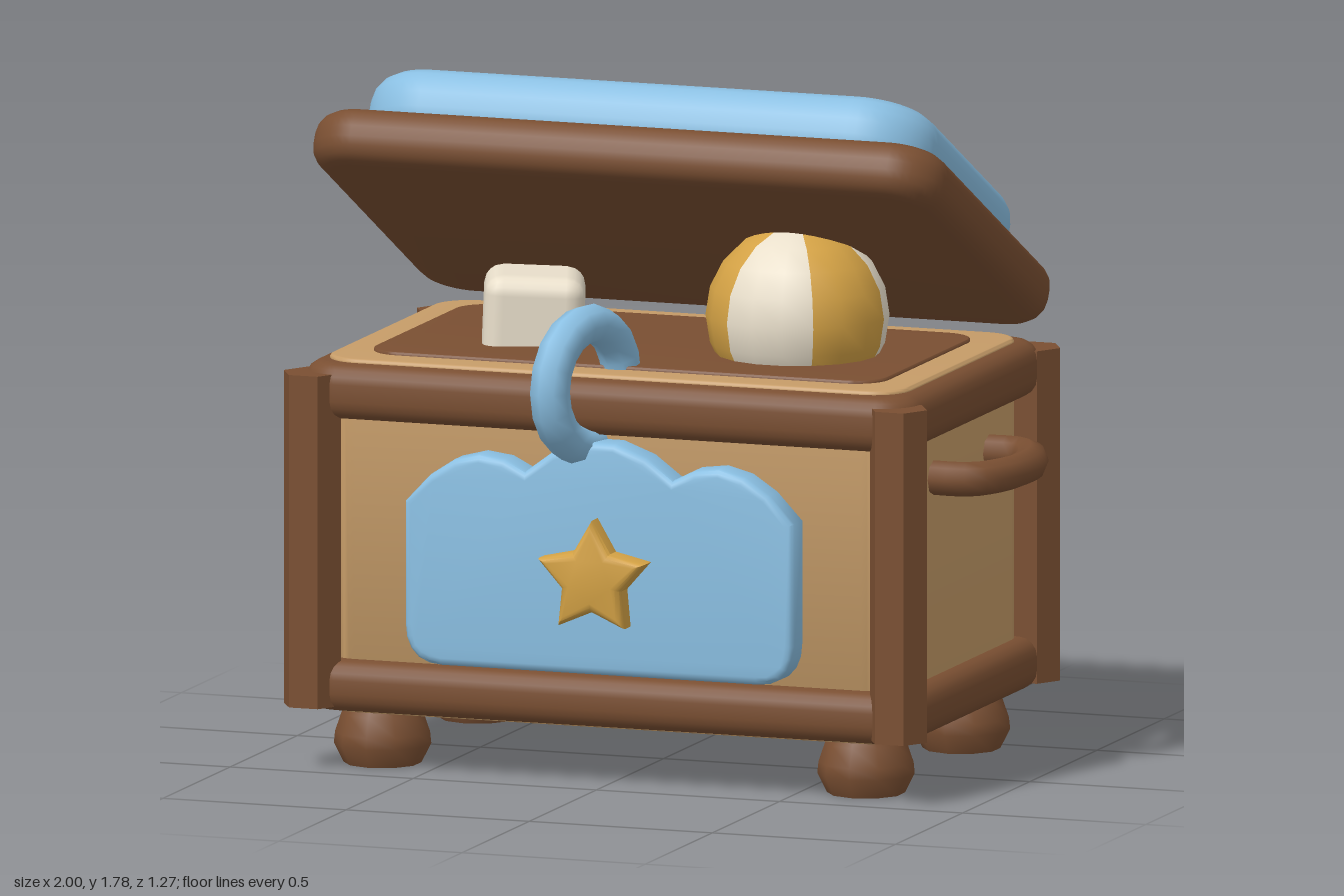
import * as THREE from 'three';
import { toCreasedNormals } from 'three/addons/utils/BufferGeometryUtils.js';
import { RoundedBoxGeometry } from 'three/addons/geometries/RoundedBoxGeometry.js';

const paint = (color) => new THREE.MeshStandardMaterial({ color });
const brown = paint(0x7a4f32);
const tan = paint(0xc69c68);
const blue = paint(0x8abfe2);
const gold = paint(0xd4a245);
const cream = paint(0xe9dfcb);
const MID_Z = -0.063; // centre of the chest body, front to back

function add(parent, name, geometry, material, x = 0, y = 0, z = 0) {
  const mesh = new THREE.Mesh(geometry, material);
  mesh.name = name;
  mesh.position.set(x, y, z);
  parent.add(mesh);
  return mesh;
}

// Extrusion with a rounded edge; bevel grows the outline outwards
function bevelled(shape, depth, bevel, bevelSegments = 4, curveSegments = 5, crease = 0.8) {
  const geometry = new THREE.ExtrudeGeometry(shape, {
    depth: depth - 2 * bevel, bevelEnabled: true, bevelSize: bevel, bevelThickness: bevel,
    bevelSegments, curveSegments,
  });
  geometry.translate(0, 0, bevel);
  return toCreasedNormals(geometry, crease);
}

// Lying slab with rounded plan corners and soft edges, its underside at y = 0
function slab(width, depth, height, radius, bevel) {
  const x = width / 2 - bevel, y = depth / 2 - bevel, r = radius - bevel;
  const s = new THREE.Shape();
  s.moveTo(-x + r, -y);
  s.absarc(x - r, -y + r, r, -Math.PI / 2, 0);
  s.absarc(x - r, y - r, r, 0, Math.PI / 2);
  s.absarc(-x + r, y - r, r, Math.PI / 2, Math.PI);
  s.absarc(-x + r, -y + r, r, Math.PI, Math.PI * 1.5);
  return bevelled(s, height, bevel).rotateX(-Math.PI / 2);
}

// Front plaque outline with three scallops on top
function plaqueShape() {
  const s = new THREE.Shape();
  s.moveTo(-0.43, 0.315);
  s.lineTo(0.43, 0.315);
  s.quadraticCurveTo(0.51, 0.315, 0.51, 0.4);
  s.lineTo(0.51, 0.71);
  s.quadraticCurveTo(0.36, 0.9, 0.2, 0.79);
  s.quadraticCurveTo(0, 0.975, -0.2, 0.79);
  s.quadraticCurveTo(-0.36, 0.9, -0.51, 0.71);
  s.lineTo(-0.51, 0.4);
  s.quadraticCurveTo(-0.51, 0.315, -0.43, 0.315);
  return s;
}

function starShape(outer, inner) {
  const points = [];
  for (let i = 0; i < 10; i++) {
    const a = Math.PI / 2 + (i * Math.PI) / 5, r = i % 2 ? inner : outer;
    points.push(new THREE.Vector2(r * Math.cos(a), r * Math.sin(a)));
  }
  return new THREE.Shape(points);
}

export function createModel() {
  const model = new THREE.Group();
  model.name = 'toyChest';

  // Body, bands and inner floor
  add(model, 'body', slab(1.58, 0.95, 0.92, 0.1, 0.01), tan, 0, 0.145, MID_Z);
  add(model, 'bottomBand', slab(1.68, 1.06, 0.135, 0.11, 0.05), brown, 0, 0.15, MID_Z);
  add(model, 'topBand', slab(1.68, 1.06, 0.145, 0.11, 0.05), brown, 0, 0.91, MID_Z);
  add(model, 'innerFloor', slab(1.4, 0.77, 0.03, 0.09, 0.005), brown, 0, 1.043, MID_Z);

  // Corner posts and feet
  const post = toCreasedNormals(new THREE.CylinderGeometry(0.078, 0.078, 0.865, 6).rotateY(Math.PI / 6), 0.5);
  const footProfile = [[0, 0], [0.1, 0], [0.125, 0.05], [0.122, 0.08], [0.105, 0.13], [0.09, 0.155], [0, 0.155]];
  const foot = toCreasedNormals(
    new THREE.LatheGeometry(footProfile.map(([r, y]) => new THREE.Vector2(r, y)), 10), 0.9);
  for (const side of [1, -1]) {
    for (const end of [1, -1]) {
      add(model, 'cornerPost', post, brown, side * 0.8, 0.597, MID_Z + end * 0.496);
      add(model, 'foot', foot, brown, side * 0.66, 0, MID_Z + end * 0.355);
    }
  }

  // Side handles
  for (const side of [1, -1]) {
    const path = new THREE.CatmullRomCurve3([
      [0.76, -0.205], [0.885, -0.2], [0.94, -0.11], [0.956, 0], [0.94, 0.11], [0.885, 0.2], [0.76, 0.205],
    ].map(([x, z]) => new THREE.Vector3(side * x, 0, z)));
    add(model, 'sideHandle', new THREE.TubeGeometry(path, 18, 0.045, 8), brown, 0, 0.802, MID_Z);
  }

  // Front plaque and star
  add(model, 'frontPlaque', bevelled(plaqueShape(), 0.1, 0.02, 3, 5), blue, 0, 0, 0.39);
  add(model, 'star', bevelled(starShape(0.122, 0.06), 0.1, 0.022, 3, 1), gold, 0, 0.553, 0.455);

  // Ring hooked over the front edge
  const ring = add(model, 'toyRing', new THREE.TorusGeometry(0.157, 0.052, 8, 18), blue, -0.055, 1.04, 0.43);
  ring.rotation.y = Math.PI / 2 - 0.27;

  // Ball made of six alternating wedges
  const ball = new THREE.Group();
  ball.name = 'ball';
  ball.position.set(0.353, 1.172, -0.035);
  for (let i = 0; i < 6; i++) {
    const wedge = new THREE.SphereGeometry(0.236, 2, 10, Math.PI / 3 + (i * Math.PI) / 3, Math.PI / 3);
    add(ball, 'ballWedge', wedge, i % 2 ? gold : cream);
  }
  model.add(ball);

  // Toy block
  const block = add(model, 'toyBlock', new RoundedBoxGeometry(0.26, 0.26, 0.26, 2, 0.05), cream, -0.355, 1.12, 0);
  block.rotation.set(0, 0.35, -0.04);

  // Open lid with padded top and knob
  const lid = new THREE.Group();
  lid.name = 'lid';
  lid.position.set(0, 1.323, -0.099);
  lid.rotation.x = -THREE.MathUtils.degToRad(28);
  add(lid, 'lidFrame', slab(1.72, 1.117, 0.148, 0.14, 0.06), brown);
  add(lid, 'lidPad', slab(1.54, 0.955, 0.2, 0.19, 0.08), blue, 0, 0.097, 0);
  const knob = add(lid, 'lidKnob', new THREE.SphereGeometry(0.053, 8, 6), gold, 0, 0.305, -0.01);
  knob.scale.y = 0.85;
  model.add(lid);

  return model;
}
